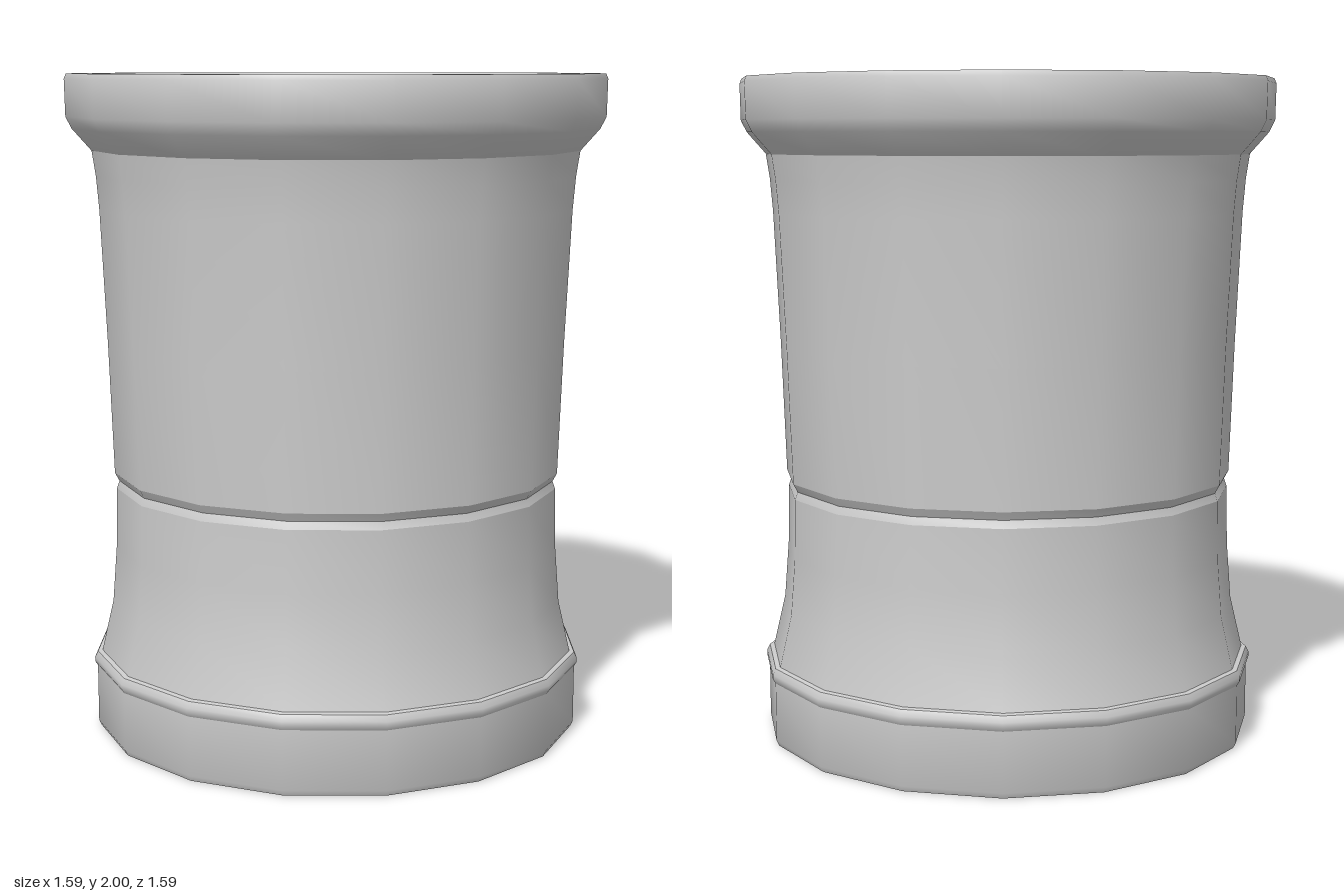
import * as THREE from 'three';
import { toCreasedNormals, mergeVertices } from 'three/addons/utils/BufferGeometryUtils.js';

const SIDES = 16;
const material = new THREE.MeshStandardMaterial({ color: 0xcccccc });

// Sixteen-sided turned part with flats facing the axes; radii are measured to the flats
function turned(name, profile) {
  const k = 1 / Math.cos(Math.PI / SIDES);
  const points = profile.map(([r, y]) => new THREE.Vector2(r * k, y));
  const lathe = new THREE.LatheGeometry(points, SIDES, Math.PI / SIDES);
  const mesh = new THREE.Mesh(toCreasedNormals(lathe, 0.75), material);
  mesh.name = name;
  return mesh;
}

export function createModel() {
  const group = new THREE.Group();
  group.name = 'flaredPot';

  // Foot with recessed underside and a small bead on top
  group.add(turned('foot', [
    [0, 0.025], [0.64, 0.025], [0.655, 0], [0.728, 0], [0.736, 0.017], [0.736, 0.195],
  ]));
  group.add(turned('footBead', [
    [0.736, 0.195], [0.744, 0.208], [0.744, 0.222], [0.735, 0.24], [0.721, 0.243],
  ]));

  // Lower body sweeping in to the waist
  group.add(turned('lowerBody', [
    [0.721, 0.243], [0.685, 0.4], [0.672, 0.57], [0.668, 0.752],
  ]));

  // Narrow groove around the waist
  group.add(turned('waistGroove', [
    [0.668, 0.752], [0.66, 0.775], [0.673, 0.8],
  ]));

  // Upper body widening to the rim
  group.add(turned('upperBody', [
    [0.673, 0.8], [0.686, 1.2], [0.703, 1.6], [0.711, 1.7], [0.722, 1.775],
  ]));

  // Flared rim, bevelled lip and inner wall
  group.add(turned('rim', [
    [0.722, 1.775], [0.778, 1.84], [0.795, 1.875], [0.797, 1.985], [0.791, 2],
  ]));
  group.add(turned('lip', [
    [0.791, 2], [0.73, 2], [0.718, 1.985],
  ]));
  group.add(turned('innerWall', [
    [0.718, 1.985], [0.702, 1.79], [0.69, 1.6],
  ]));

  // Round filling inside, with its edge softly shaded into its side
  const disc = new THREE.CylinderGeometry(0.7, 0.68, 0.12, 32);
  disc.deleteAttribute('normal');
  disc.deleteAttribute('uv');
  const soft = mergeVertices(disc);
  soft.computeVertexNormals();
  const filling = new THREE.Mesh(soft, material);
  filling.name = 'filling';
  filling.position.y = 1.73;
  group.add(filling);

  return group;
}
